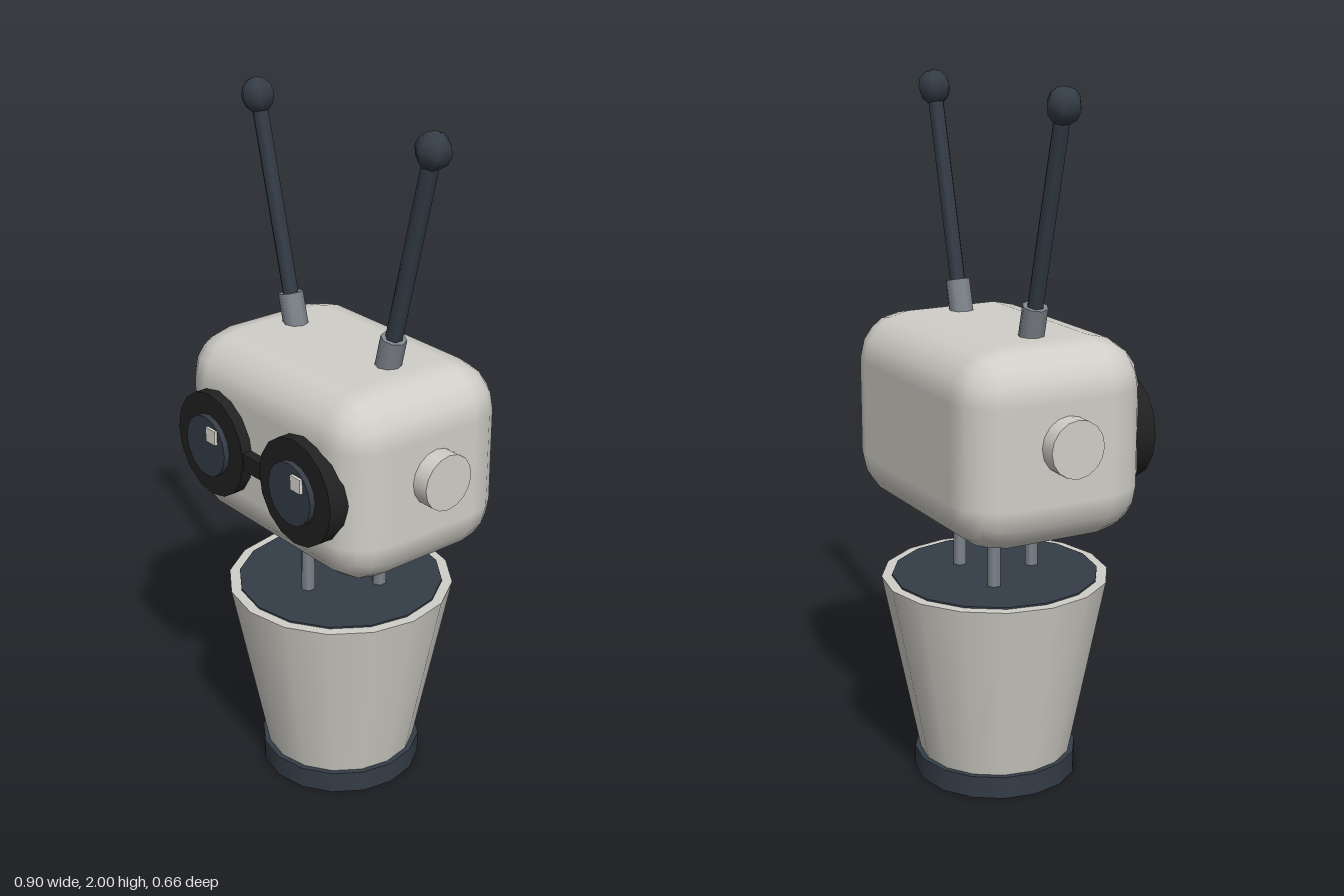
import * as THREE from 'three';
import { RoundedBoxGeometry } from 'three/addons/geometries/RoundedBoxGeometry.js';

const paint = (name, color) => {
  const m = new THREE.MeshStandardMaterial({ color });
  m.name = name;
  return m;
};

export function createModel() {
  const shell = paint('warm grey shell', 0xd0cec7);
  const navy = paint('dark slate', 0x343c46);
  const black = paint('goggle black', 0x212121);
  const metal = paint('grey metal', 0x7f858d);
  const glint = paint('lens glint', 0xdcdad5);

  const model = new THREE.Group();
  model.name = 'antennaRobotInPot';
  const body = new THREE.Group();
  body.name = 'body';
  body.position.z = -0.0075;
  model.add(body);

  const add = (parent, name, geometry, material, x = 0, y = 0, z = 0) => {
    const mesh = new THREE.Mesh(geometry, material);
    mesh.name = name;
    mesh.position.set(x, y, z);
    parent.add(mesh);
    return mesh;
  };
  const cylinder = (top, bottom, height, sides) =>
    new THREE.CylinderGeometry(top, bottom, height, sides);

  // Tapered pot, foot and dark filling
  add(body, 'potFoot', cylinder(0.237, 0.237, 0.065, 16), navy, 0, 0.0325);
  add(body, 'pot', cylinder(0.327, 0.22, 0.54, 16), shell, 0, 0.33);
  add(body, 'potFilling', cylinder(0.297, 0.297, 0.03, 16), navy, 0, 0.59);

  // Three neck rods in a triangle
  for (let i = 0; i < 3; i++) {
    const a = Math.PI / 2 + (i * Math.PI * 2) / 3;
    add(body, 'neckRod', cylinder(0.021, 0.021, 0.26, 6), metal,
      0.12 * Math.cos(a), 0.71, 0.12 * Math.sin(a));
  }

  // Head
  add(body, 'head', new RoundedBoxGeometry(0.8, 0.555, 0.56, 2, 0.14), shell, 0, 1.0575);

  for (const side of [-1, 1]) {
    // Ear cap
    add(body, 'earCap', cylinder(0.08, 0.08, 0.1, 16), shell, side * 0.4, 1.08)
      .rotation.z = Math.PI / 2;

    // Antenna: socket, rod and ball on one tilted axis
    const antenna = new THREE.Group();
    antenna.name = side > 0 ? 'leftAntenna' : 'rightAntenna';
    antenna.position.set(side * 0.21, 1.37, 0);
    antenna.rotation.z = -side * 0.25;
    body.add(antenna);
    add(antenna, 'socket', cylinder(0.036, 0.036, 0.1, 8), metal);
    add(antenna, 'rod', cylinder(0.024, 0.024, 0.56, 6), navy, 0, 0.3);
    add(antenna, 'ball', new THREE.SphereGeometry(0.05, 6, 6).rotateY(Math.PI / 2),
      navy, 0, 0.6);

    // Goggle eye: ring, lens and glint
    const eye = new THREE.Group();
    eye.name = side > 0 ? 'leftEye' : 'rightEye';
    eye.position.set(side * 0.19, 1.05, 0);
    model.add(eye);
    add(eye, 'goggleRing', cylinder(0.153, 0.153, 0.06, 16).rotateX(Math.PI / 2),
      black, 0, 0, 0.275);
    add(eye, 'lens', cylinder(0.09, 0.09, 0.03, 16).rotateX(Math.PI / 2),
      navy, 0, 0, 0.307);
    add(eye, 'glint', new THREE.BoxGeometry(0.042, 0.042, 0.015), glint,
      0.037, 0.045, 0.323);
  }

  // Goggle bridge
  add(model, 'goggleBridge', new THREE.BoxGeometry(0.12, 0.05, 0.05), black, 0, 1.05, 0.277);

  return model;
}
